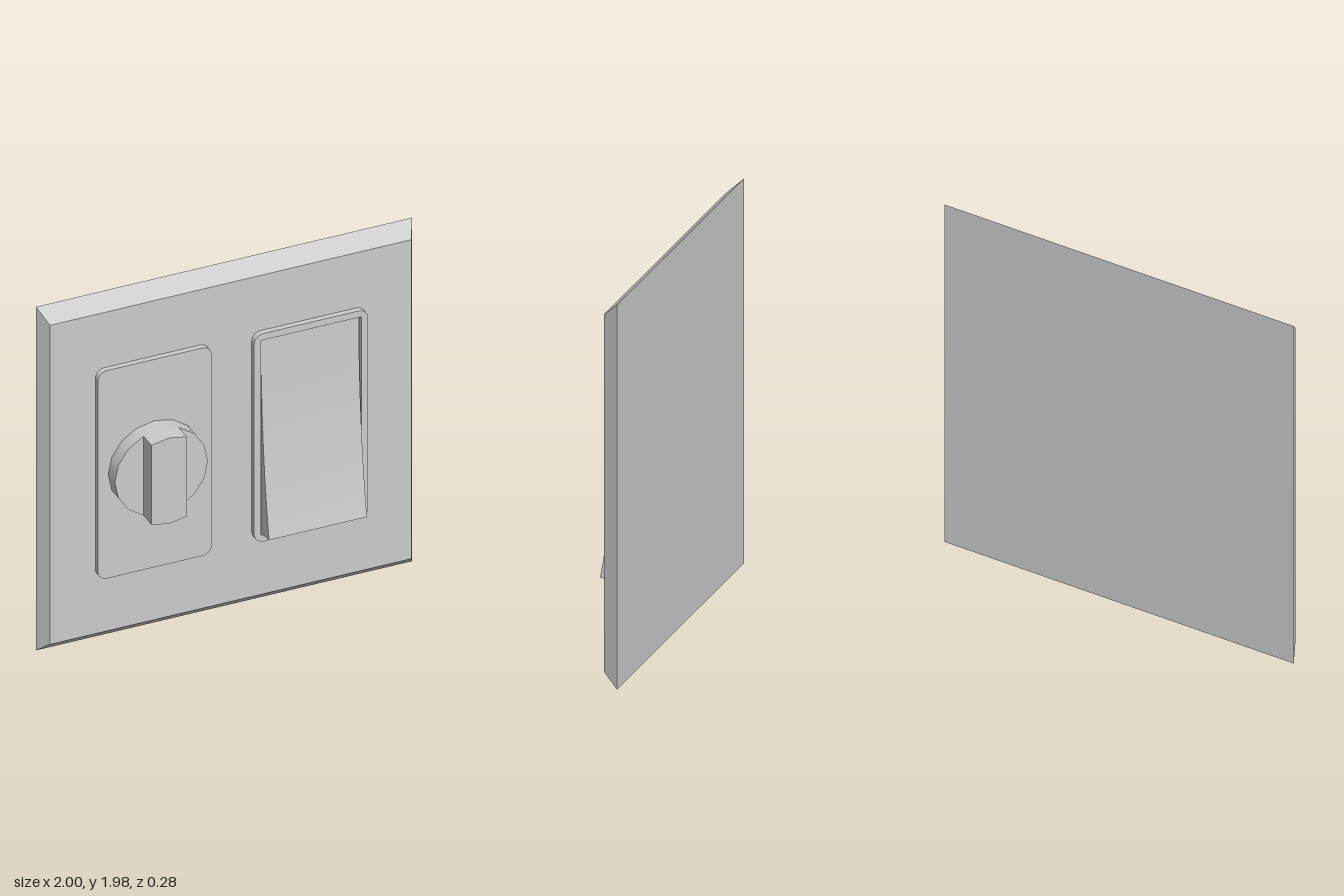
import * as THREE from 'three';
import { toCreasedNormals } from 'three/addons/utils/BufferGeometryUtils.js';

const MID_Y = 0.9875;

export function createModel() {
  const model = new THREE.Group();
  const material = new THREE.MeshStandardMaterial({ color: 0xcccccc });

  const add = (name, geometry, x = 0, y = 0, z = 0) => {
    const mesh = new THREE.Mesh(geometry, material);
    mesh.name = name;
    mesh.position.set(x, y, z);
    model.add(mesh);
    return mesh;
  };
  const extrude = (shape, depth, curveSegments = 4) => toCreasedNormals(
    new THREE.ExtrudeGeometry(shape, { depth, bevelEnabled: false, curveSegments }), 0.6);

  // Rectangle with rounded corners, centred on the origin
  const roundedRect = (w, h, r) => {
    const x = w / 2, y = h / 2, q = Math.PI / 2;
    const s = new THREE.Shape();
    s.absarc(x - r, y - r, r, 0, q);
    s.absarc(-x + r, y - r, r, q, 2 * q);
    s.absarc(-x + r, -y + r, r, 2 * q, 3 * q);
    s.absarc(x - r, -y + r, r, 3 * q, 4 * q);
    s.closePath();
    return s;
  };

  // Wall plate: a box whose front face is drawn in to slope the four edges
  const plate = new THREE.BoxGeometry(2, 1.975, 0.08);
  const p = plate.attributes.position;
  for (let i = 0; i < p.count; i++) {
    if (p.getZ(i) > 0) {
      p.setX(i, Math.sign(p.getX(i)) * 0.96);
      p.setY(i, Math.sign(p.getY(i)) * 0.917);
    }
  }
  plate.computeVertexNormals();
  add('wallPlate', plate, 0, MID_Y, -0.1);

  // Raised panel behind the knob, and open frame around the rocker
  add('knobPanel', extrude(roundedRect(0.605, 1.195, 0.05), 0.03), -0.417, 0.99, -0.06);
  const frame = roundedRect(0.605, 1.195, 0.05);
  const hx = 0.267, hy = 0.56;
  frame.holes.push(new THREE.Path([[-hx, -hy], [-hx, hy], [hx, hy], [hx, -hy]]
    .map(([x, y]) => new THREE.Vector2(x, y))));
  add('rockerFrame', extrude(frame, 0.03), 0.414, 0.99, -0.06);

  // Round knob base
  const R = 0.247;
  const knob = new THREE.CylinderGeometry(R, R, 0.08, 16).rotateX(Math.PI / 2);
  add('knobBase', knob, -0.417, 0.988, 0.01);

  // Grip bar across the knob, its ends following the knob outline
  const grip = new THREE.Shape([3, 4, 5, 11, 12, 13].map((i) => {
    const a = i * Math.PI / 8;
    return new THREE.Vector2(R * Math.cos(a), R * Math.sin(a));
  }));
  add('knobGrip', extrude(grip, 0.092), -0.417, 0.988, 0.05);

  // Rocker: concave side profile (z, y) swept across its width
  const side = new THREE.Shape();
  side.moveTo(-0.06, 0.432);
  side.lineTo(-0.03, 0.437);
  side.lineTo(0.053, 0.449);
  side.quadraticCurveTo(-0.04, 0.95, -0.045, 1.54);
  side.lineTo(-0.06, 1.54);
  side.closePath();
  const rocker = extrude(side, 0.52, 12).rotateY(-Math.PI / 2);
  add('rocker', rocker, 0.414 + 0.26, 0, 0);

  return model;
}
